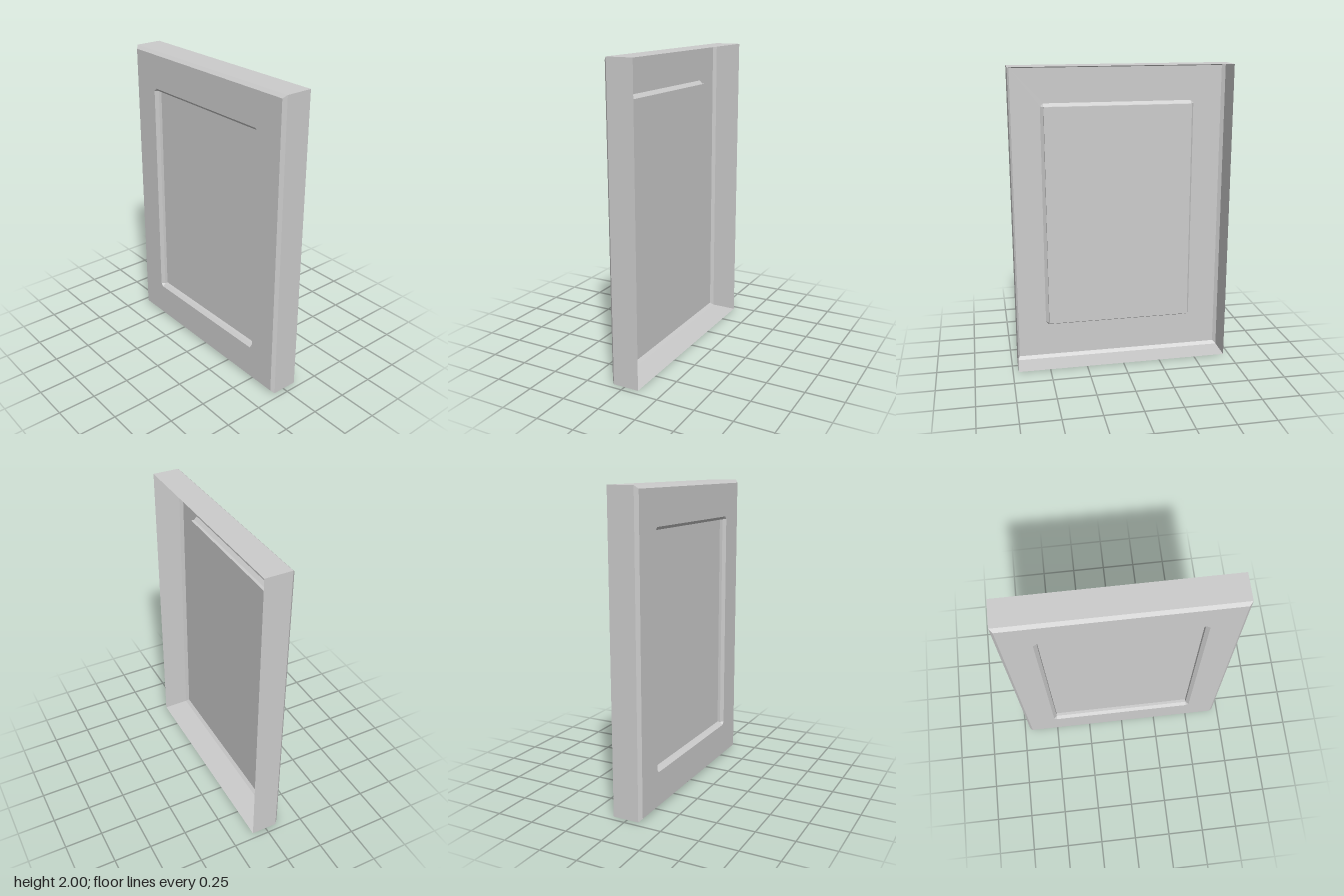
import * as THREE from 'three';

const HALF_W = 0.712, HALF_H = 1, MID_Y = 1;
const FRONT = 0.097, BACK = -0.097, BEVEL = 0.02;
const OPEN_W = 0.505, OPEN_H = 0.757;
const PANEL_Z = 0.057;

// Counter-clockwise rectangular loop of eight points; cut = 0 gives sharp corners
function loop(w, h, z, cut = 0) {
  const a = w - cut, b = h - cut;
  return [[-a, -h], [a, -h], [w, -b], [w, b], [a, h], [-a, h], [-w, b], [-w, -b]]
    .map(([x, y]) => new THREE.Vector3(x, y + MID_Y, z));
}

// Flat-faced band joining two loops
function band(from, to) {
  const pos = [];
  const tri = (a, b, c) => {
    if (a.equals(b) || b.equals(c) || c.equals(a)) return;
    for (const p of [a, b, c]) pos.push(p.x, p.y, p.z);
  };
  from.forEach((a, i) => {
    const j = (i + 1) % from.length;
    tri(a, from[j], to[j]);
    tri(a, to[j], to[i]);
  });
  const g = new THREE.BufferGeometry();
  g.setAttribute('position', new THREE.Float32BufferAttribute(pos, 3));
  g.computeVertexNormals();
  return g;
}

export function createModel() {
  const group = new THREE.Group();
  group.name = 'panelDoor';
  const grey = new THREE.MeshStandardMaterial({ color: 0xcccccc, side: THREE.DoubleSide });
  grey.name = 'lightGrey';
  const add = (name, geometry) => {
    const mesh = new THREE.Mesh(geometry, grey);
    mesh.name = name;
    group.add(mesh);
    return mesh;
  };

  const rimBack = loop(HALF_W, HALF_H, BACK);
  const rimFront = loop(HALF_W, HALF_H, FRONT - BEVEL);
  const faceEdge = loop(HALF_W - BEVEL, HALF_H - BEVEL, FRONT);
  const opening = loop(OPEN_W, OPEN_H, FRONT, BEVEL);
  const recessTop = loop(OPEN_W - BEVEL, OPEN_H - BEVEL, FRONT - BEVEL);
  const panelEdge = loop(OPEN_W - BEVEL, OPEN_H - BEVEL, PANEL_Z);

  // Outer shell, open at the back
  add('sideWalls', band(rimBack, rimFront));
  add('outerBevel', band(rimFront, faceEdge));

  // Flat front frame around the opening
  const flat = (pts) => pts.map((p) => new THREE.Vector2(p.x, p.y));
  const corners = faceEdge.filter((p, i) => i % 2 === 0);
  const frame = new THREE.Shape(flat(corners));
  frame.holes.push(new THREE.Path(flat(opening)));
  add('frontFrame', new THREE.ShapeGeometry(frame)).position.z = FRONT;

  // Recessed centre panel
  add('recessBevel', band(opening, recessTop));
  add('recessWalls', band(recessTop, panelEdge));
  const panel = new THREE.PlaneGeometry(2 * (OPEN_W - BEVEL), 2 * (OPEN_H - BEVEL));
  add('centrePanel', panel).position.set(0, MID_Y, PANEL_Z);

  return group;
}
